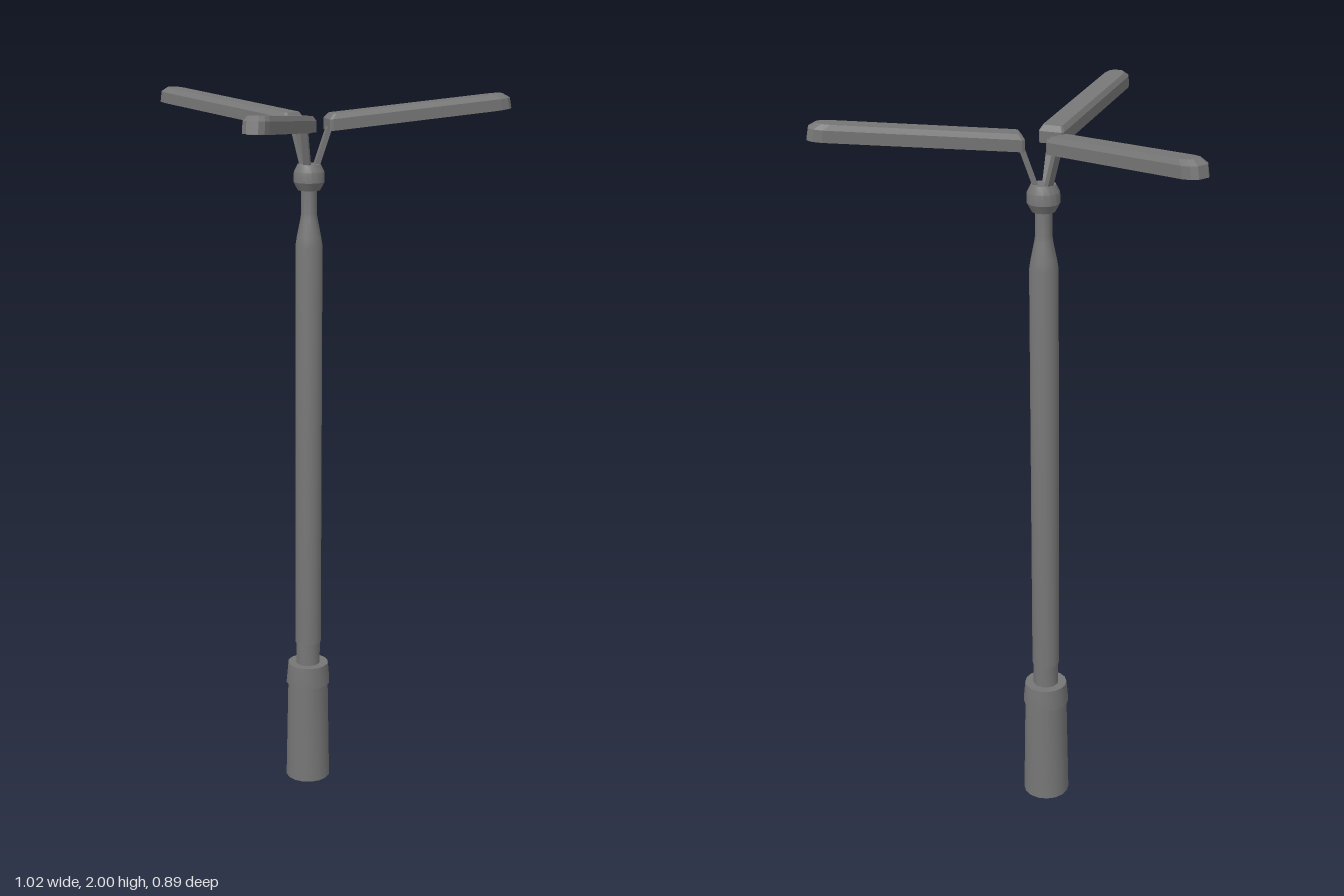
import * as THREE from 'three';
import { toCreasedNormals } from 'three/addons/utils/BufferGeometryUtils.js';
import { ConvexGeometry } from 'three/addons/geometries/ConvexGeometry.js';

const SIDES = 16;
const material = new THREE.MeshStandardMaterial({ color: 0x767676 });

function part(name, geometry) {
  const mesh = new THREE.Mesh(geometry, material);
  mesh.name = name;
  return mesh;
}

// Turned part from [radius, height] pairs, listed from bottom to top
function turned(name, profile) {
  const points = profile.map(([r, y]) => new THREE.Vector2(r, y));
  return part(name, toCreasedNormals(new THREE.LatheGeometry(points, SIDES), 0.5));
}

// Lamp outline seen from above: [distance along the arm, half width]
const LENGTH = 0.532;
const HALF_WIDTH = 0.034;
const outline = [[0, 0.03], [0.008, HALF_WIDTH], [0.497, HALF_WIDTH], [0.52, 0.028], [LENGTH, 0.015]];

// Convex solid from the outline repeated at [height, side inset, inner end inset, tip inset] levels
function lampSolid(name, levels) {
  const points = [];
  for (const [y, side, inner, tip] of levels) {
    for (const [z, w] of outline) {
      const along = inner + (z * (LENGTH - inner - tip)) / LENGTH;
      const half = (w * (HALF_WIDTH - side)) / HALF_WIDTH;
      points.push(new THREE.Vector3(half, y, along), new THREE.Vector3(-half, y, along));
    }
  }
  return part(name, new ConvexGeometry(points));
}

// One strut and its tilted lamp, pointing along +z
function createArm() {
  const arm = new THREE.Group();
  arm.name = 'lampArm';

  const from = new THREE.Vector3(0, 1.8, 0.014);
  const to = new THREE.Vector3(0, 1.925, 0.058);
  const strut = part('strut', new THREE.BoxGeometry(0.018, 0.014, from.distanceTo(to)));
  strut.position.copy(from).lerp(to, 0.5);
  strut.lookAt(to);
  arm.add(strut);

  const lamp = new THREE.Group();
  lamp.name = 'lamp';
  lamp.add(lampSolid('lampHousing', [[0, 0, 0, 0], [0.03, 0, 0.002, 0.003], [0.043, 0.008, 0.014, 0.022]]));
  lamp.add(lampSolid('lampPanel', [[-0.002, 0.009, 0.009, 0.012], [0.004, 0.009, 0.009, 0.012]]));
  lamp.position.set(0, 1.913, 0.05);
  lamp.rotation.x = -0.087;
  arm.add(lamp);
  return arm;
}

export function createModel() {
  const model = new THREE.Group();
  model.name = 'streetLamp';

  const post = new THREE.Group();
  post.name = 'post';
  post.position.set(0.002, 0, -0.134);
  model.add(post);

  post.add(turned('base', [[0, 0], [0.065, 0], [0.059, 0.305], [0, 0.305]]));
  post.add(turned('baseCollar', [[0, 0.3], [0.064, 0.3], [0.064, 0.308], [0.059, 0.362], [0, 0.362]]));
  post.add(turned('poleNeck', [[0, 0.355], [0.035, 0.355], [0.035, 0.43], [0, 0.43]]));
  post.add(turned('pole', [
    [0, 0.428], [0.038, 0.428], [0.038, 1.6], [0.034, 1.625], [0.024, 1.675], [0.022, 1.69], [0.022, 1.76], [0, 1.76],
  ]));
  post.add(turned('topKnob', [
    [0, 1.753], [0.031, 1.753], [0.043, 1.775], [0.042, 1.803], [0.032, 1.823], [0, 1.823],
  ]));

  // Three arms evenly spaced, one facing forward
  for (let i = 0; i < 3; i++) {
    const arm = createArm();
    arm.rotation.y = (i * Math.PI * 2) / 3;
    post.add(arm);
  }
  return model;
}
